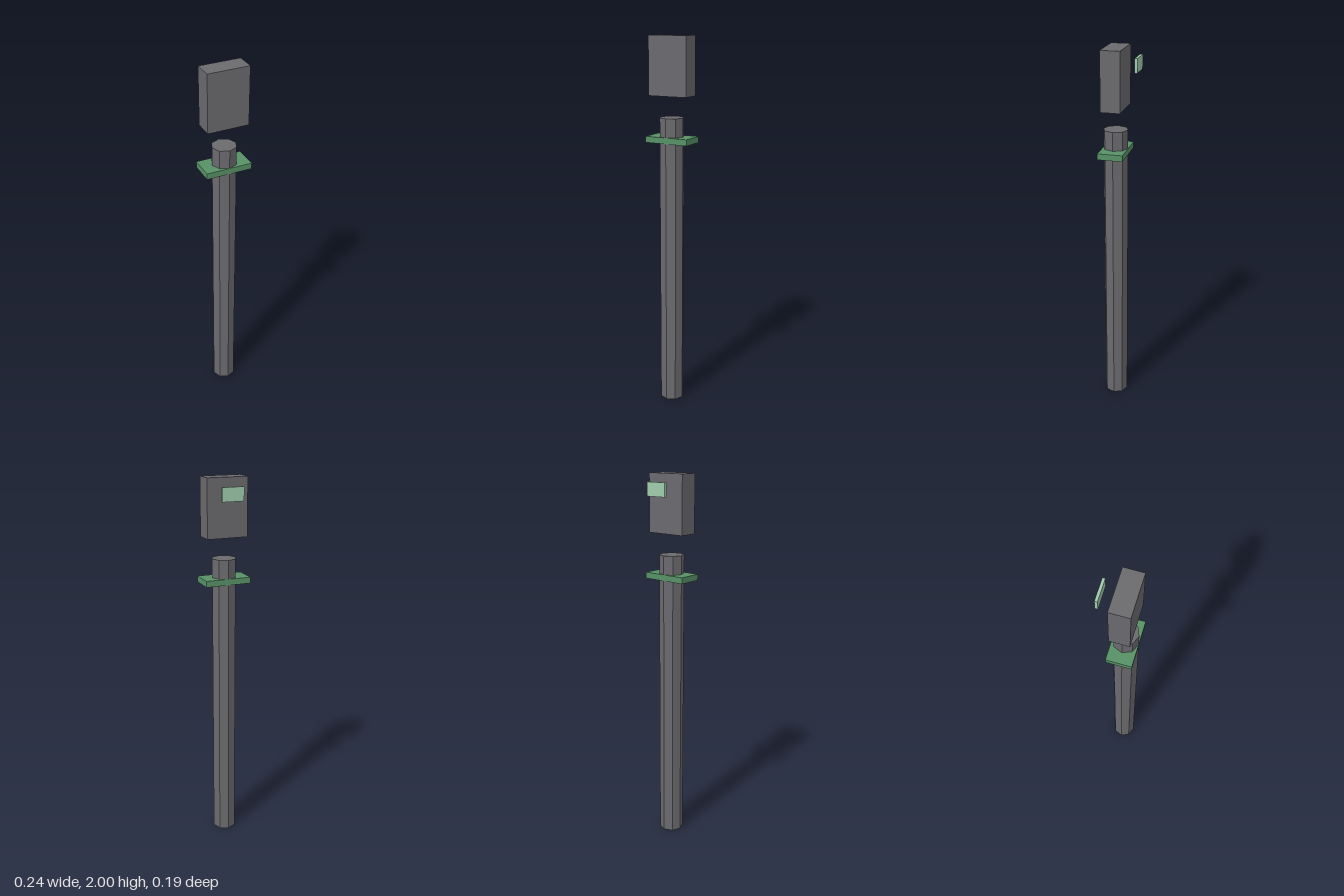
import * as THREE from 'three';

export function createModel() {
  const group = new THREE.Group();
  group.name = 'signPost';

  const material = (name, color) => {
    const m = new THREE.MeshStandardMaterial({ color });
    m.name = name;
    return m;
  };
  const darkGrey = material('darkGrey', 0x6b6b6f);
  const green = material('green', 0x589267);
  const paleGreen = material('paleGreen', 0xa0cdae);
  darkGrey.flatShading = true;

  const add = (name, geometry, mat, x, y, z) => {
    const mesh = new THREE.Mesh(geometry, mat);
    mesh.name = name;
    mesh.position.set(x, y, z);
    group.add(mesh);
  };

  // Eight-sided post with a corner facing front
  add('post', new THREE.CylinderGeometry(0.065, 0.065, 1.59, 8), darkGrey, 0, 0.795, 0.028);

  // Flat collar near the top of the post
  add('collar', new THREE.BoxGeometry(0.244, 0.032, 0.13), green, 0, 1.476, 0.028);

  // Floating head block above the post
  add('head', new THREE.BoxGeometry(0.217, 0.3, 0.1), darkGrey, 0, 1.85, 0.028);

  // Small screen floating behind the head
  add('screen', new THREE.BoxGeometry(0.115, 0.07, 0.014), paleGreen, 0, 1.925, -0.088);

  return group;
}
